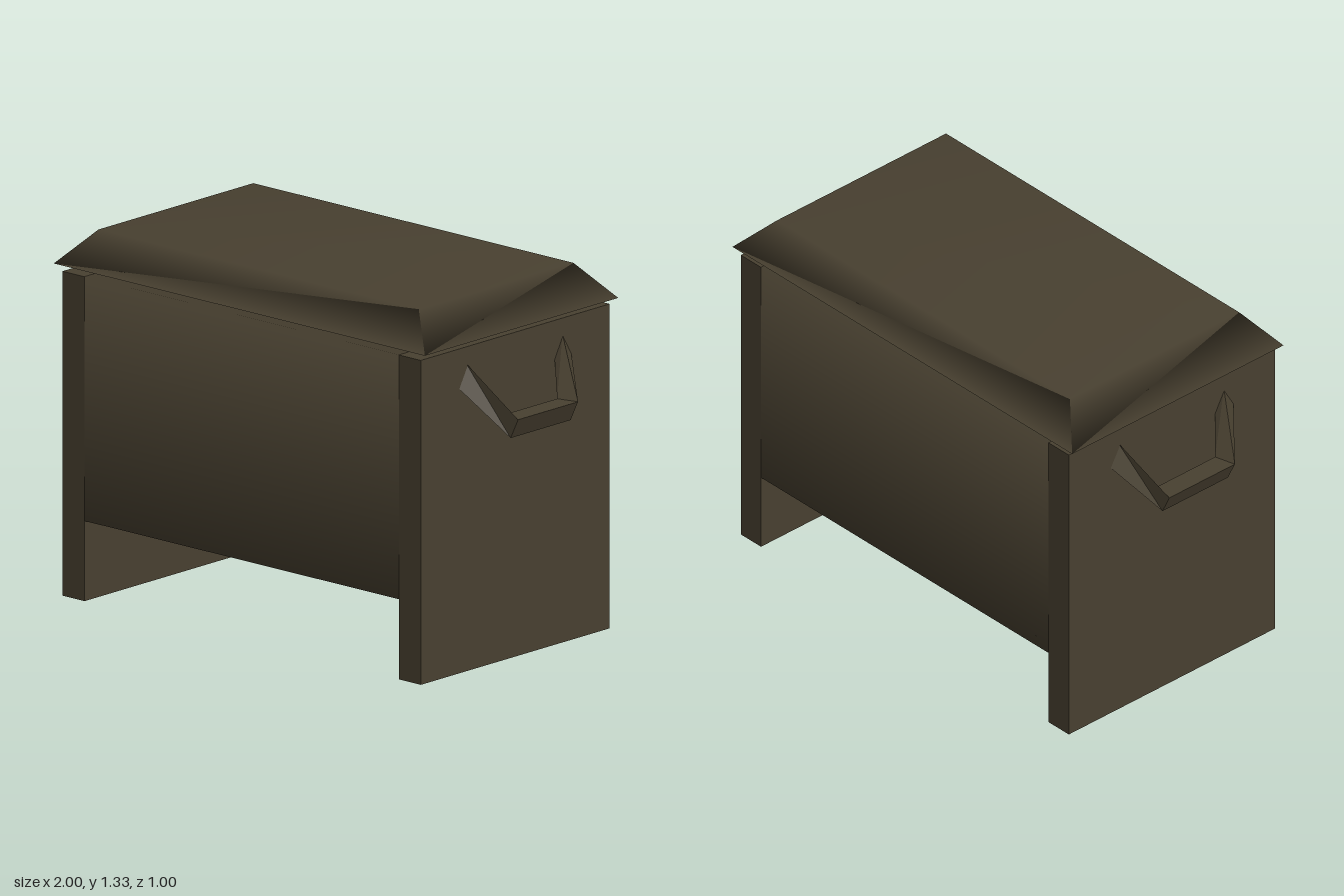
import * as THREE from 'three';
import { mergeVertices } from 'three/addons/utils/BufferGeometryUtils.js';

const olive = new THREE.MeshStandardMaterial({ color: 0x484030 });
olive.name = 'dark olive';

// Share corner vertices so shading runs softly over the edges
function soften(geometry) {
  geometry.deleteAttribute('normal');
  geometry.deleteAttribute('uv');
  const merged = mergeVertices(geometry);
  merged.computeVertexNormals();
  return merged;
}

// Three-sided grip: a bar along z with two arms slanting up into the panel
function handleGeometry() {
  const bar = [[1.0, 0.92, 0.155], [0.965, 0.847, 0.155], [0.92, 0.92, 0.135]];
  const end = [[0.84, 1.115, 0.25], [0.838, 1.04, 0.297], [0.8, 1.1, 0.245]];
  const flip = (ring) => ring.map(([x, y, z]) => [x, y, -z]);
  const rings = [flip(end), flip(bar), bar, end];
  const points = [];
  for (let r = 0; r < 3; r++) {
    for (let i = 0; i < 3; i++) {
      const j = (i + 1) % 3;
      const [a, b, c, d] = [rings[r][i], rings[r + 1][i], rings[r][j], rings[r + 1][j]];
      points.push(...a, ...b, ...c, ...c, ...b, ...d);
    }
  }
  const geometry = new THREE.BufferGeometry();
  geometry.setAttribute('position', new THREE.Float32BufferAttribute(points, 3));
  geometry.computeVertexNormals();
  return geometry;
}

export function createModel() {
  const group = new THREE.Group();
  const add = (name, geometry) => {
    const mesh = new THREE.Mesh(geometry, olive);
    mesh.name = name;
    group.add(mesh);
    return mesh;
  };

  // Chest body: a four-sided sleeve between the side panels
  const sleeve = new THREE.CylinderGeometry(Math.SQRT1_2, Math.SQRT1_2, 1, 4, 1, true);
  sleeve.rotateY(Math.PI / 4).rotateZ(Math.PI / 2).scale(1.484, 0.885, 0.974);
  add('chestBody', sleeve).position.y = 0.7325;

  // Lid: a slab narrowing towards the top, floating just above the body
  const lid = new THREE.BoxGeometry(1.75, 0.125, 1.0);
  const pos = lid.attributes.position;
  for (let i = 0; i < pos.count; i++) {
    if (pos.getY(i) > 0) {
      pos.setX(i, Math.sign(pos.getX(i)) * 0.755);
      pos.setZ(i, Math.sign(pos.getZ(i)) * 0.4);
    }
  }
  add('lid', soften(lid)).position.y = 1.2625;

  // Side panels that double as legs, each with a handle
  const handle = handleGeometry();
  for (const [side, sign] of [['left', 1], ['right', -1]]) {
    const panel = add(side + 'Panel', new THREE.BoxGeometry(0.104, 1.175, 0.976));
    panel.position.set(sign * 0.793, 0.5875, 0);
    add(side + 'Handle', handle).rotation.y = sign > 0 ? 0 : Math.PI;
  }
  return group;
}
